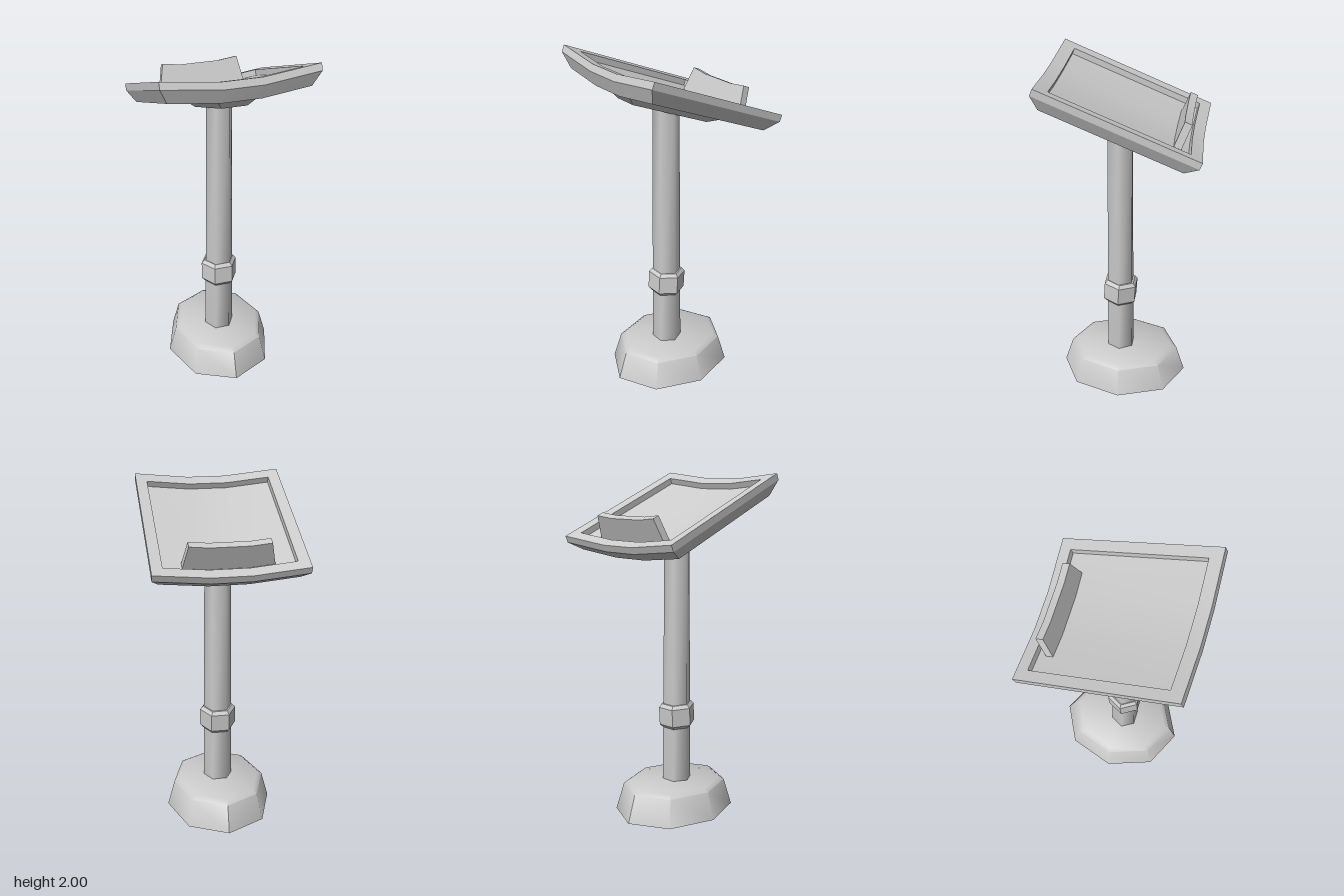
import * as THREE from 'three';
import { toCreasedNormals } from 'three/addons/utils/BufferGeometryUtils.js';

const grey = new THREE.MeshStandardMaterial({ color: 0xcccccc });
const greyDouble = new THREE.MeshStandardMaterial({ color: 0xcccccc, side: THREE.DoubleSide });

function addMesh(parent, name, geometry, material = grey) {
  const mesh = new THREE.Mesh(geometry, material);
  mesh.name = name;
  parent.add(mesh);
  return mesh;
}

// Height of the shallow trough across the desk: flat middle, raised sides
const bend = (x) => -0.036 * Math.min(1, (0.42 - Math.abs(x)) / 0.31);

// Closed body skinned over rectangular rings [halfWidth, backZ, frontZ, height], all bent across x
function bentBody(rings) {
  const loops = rings.map(([w, back, front, y]) => {
    const c = Math.min(0.11, w / 2);
    const xs = [-w, -c, c, w];
    const point = (x, z) => [x, y + bend(x), z];
    return [...xs.map((x) => point(x, front)), ...xs.reverse().map((x) => point(x, back))];
  });
  const pos = [];
  const quad = (a, b, c, d) => pos.push(...a, ...b, ...c, ...a, ...c, ...d);
  // side walls
  for (let r = 0; r < loops.length - 1; r++) {
    const A = loops[r], B = loops[r + 1];
    for (let i = 0; i < 8; i++) {
      const j = (i + 1) % 8;
      quad(B[i], B[j], A[j], A[i]);
    }
  }
  // upper and lower caps
  const T = loops[0], L = loops[loops.length - 1];
  for (let i = 0; i < 3; i++) {
    quad(T[i], T[i + 1], T[6 - i], T[7 - i]);
    quad(L[7 - i], L[6 - i], L[i + 1], L[i]);
  }
  const geometry = new THREE.BufferGeometry();
  geometry.setAttribute('position', new THREE.Float32BufferAttribute(pos, 3));
  return toCreasedNormals(geometry, 0.35);
}

// Faceted turned shape from [radius, height] pairs
function turned(profile, sides) {
  return new THREE.LatheGeometry(profile.map(([r, y]) => new THREE.Vector2(r, y)), sides);
}

export function createModel() {
  const model = new THREE.Group();
  model.name = 'lectern';

  // Hollow eight-sided foot, deeper than wide
  const foot = turned([[0.32, 0], [0.277, 0.16], [0.25, 0.18], [0, 0.18]], 8);
  foot.scale(1, 0, 1).dispose();
  const footShell = turned([[0.32, 0], [0.277, 0.16], [0.25, 0.18], [0, 0.18]], 8);
  footShell.scale(1, 1, 1.2);
  footShell.translate(0, 0, 0.012);
  addMesh(model, 'base', toCreasedNormals(footShell, 0.82), greyDouble);

  // Six-sided tapering post
  const post = new THREE.CylinderGeometry(0.075, 0.087, 1.54, 6);
  post.rotateY(Math.PI / 6);
  post.translate(0, 0.93, 0.034);
  addMesh(model, 'post', toCreasedNormals(post, 1.1));

  // Slightly tilted bevelled collar
  const ring = turned([[0.08, 0.0 - 0.073], [0.09, -0.073], [0.108, -0.053], [0.108, 0.053], [0.09, 0.073], [0.07, 0.073]], 6);
  ring.rotateY(Math.PI / 6);
  const collar = addMesh(model, 'collar', toCreasedNormals(ring, 0.5));
  collar.position.set(0, 0.583, 0.034);
  collar.rotation.x = -0.06;

  // Sloping head: local y is the desk normal, local z runs up the slope
  const head = new THREE.Group();
  head.name = 'head';
  head.position.set(0, 1.825, -0.016);
  head.rotation.x = -0.387;
  model.add(head);

  // Desk with sunken panel, rim and chamfered underside
  addMesh(head, 'desk', bentBody([
    [0.357, -0.398, 0.39, -0.035],
    [0.357, -0.398, 0.39, 0],
    [0.42, -0.464, 0.464, 0],
    [0.42, -0.464, 0.464, -0.04],
    [0.38, -0.404, 0.404, -0.106],
  ]));

  // Stop that holds a book at the low edge
  addMesh(head, 'bookStop', bentBody([
    [0.22, -0.354, -0.311, 0.108],
    [0.25, -0.354, -0.311, -0.04],
  ]));

  // Mounting block between desk and post
  addMesh(head, 'mountingBlock', bentBody([
    [0.105, -0.335, 0.335, -0.104],
    [0.07, -0.27, 0.27, -0.139],
  ]));

  return model;
}
